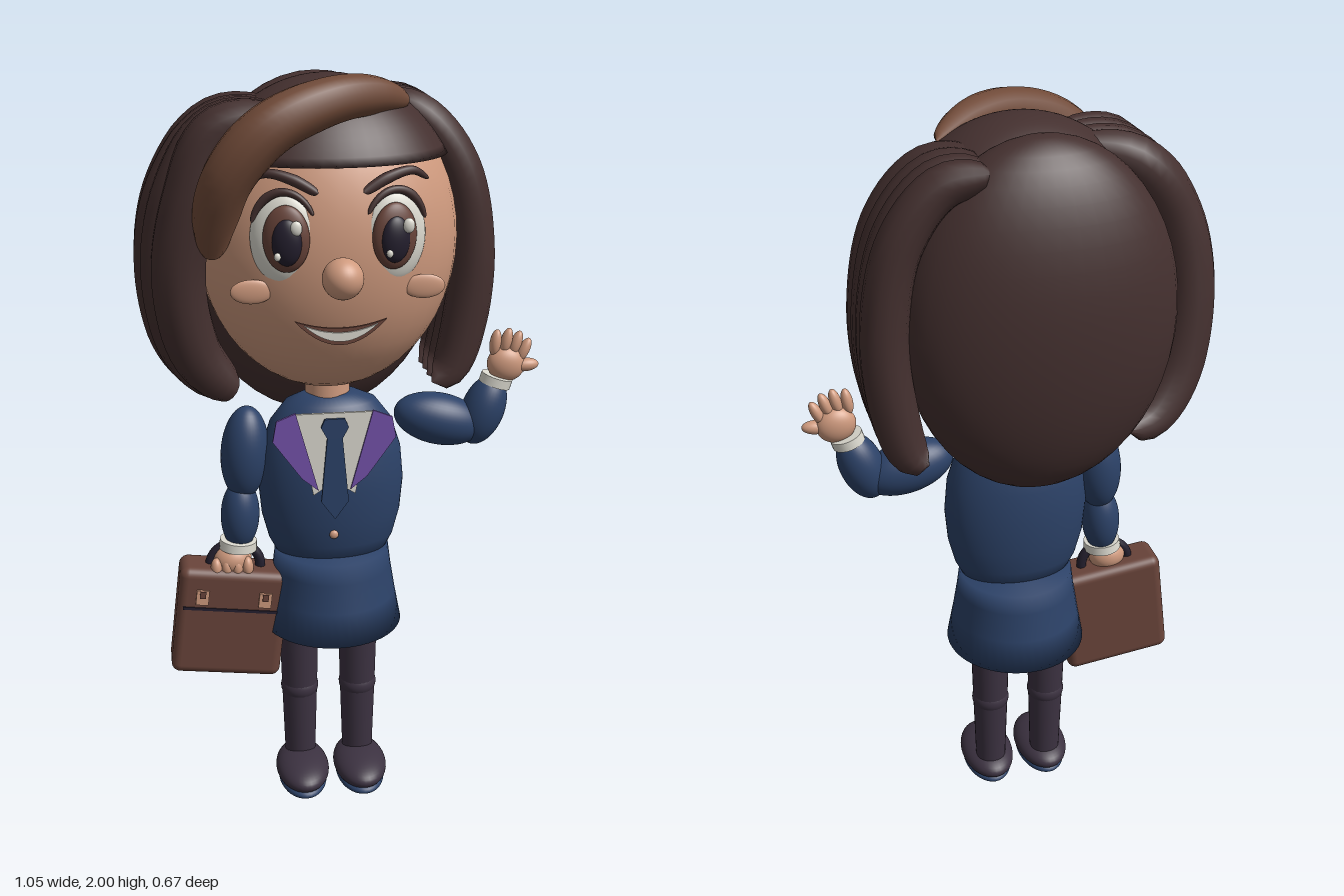
import * as THREE from 'three';
import { RoundedBoxGeometry } from 'three/addons/geometries/RoundedBoxGeometry.js';

const mat = (name, color, side = THREE.FrontSide) => {
  const m = new THREE.MeshStandardMaterial({ color, side });
  m.name = name;
  return m;
};

export function createModel() {
  const skin = mat('skin', 0xcf9a7e), hair = mat('darkHair', 0x44302f), brown = mat('fringeBrown', 0x704a38);
  const leather = mat('leather', 0x69443a), navy = mat('navyCloth', 0x2c4268), plum = mat('plumStocking', 0x3c3241);
  const white = mat('white', 0xdcdad0), purple = mat('purpleLapel', 0x7452aa), ink = mat('ink', 0x241f2e);
  const model = new THREE.Group();
  const CX = -0.035;

  const add = (name, geo, m, x = 0, y = 0, z = 0, parent = model) => {
    const mesh = new THREE.Mesh(geo, m);
    mesh.name = name;
    mesh.position.set(x, y, z);
    parent.add(mesh);
    return mesh;
  };
  const ball = (name, m, [x, y, z], [rx, ry, rz], tilt = 0, parent = model) => {
    const b = add(name, new THREE.SphereGeometry(1, 36, 24), m, x, y, z, parent);
    b.scale.set(rx, ry, rz);
    b.rotation.z = tilt;
    return b;
  };
  // Tube along a path, with radii spread along it and rounded ends
  const strand = (name, m, pts, radii, n = 36) => {
    const curve = new THREE.CatmullRomCurve3(pts.map(p => new THREE.Vector3(...p)));
    const geo = new THREE.TubeGeometry(curve, n, 1, 14);
    const pos = geo.attributes.position, v = new THREE.Vector3();
    for (let i = 0; i <= n; i++) {
      const t = i / n, c = curve.getPointAt(t), f = t * (radii.length - 1), k = Math.min(Math.floor(f), radii.length - 2);
      const r = THREE.MathUtils.lerp(radii[k], radii[k + 1], f - k) * Math.sqrt(Math.max(0, 1 - (2 * t - 1) ** 10));
      for (let j = 0; j <= 14; j++) {
        v.fromBufferAttribute(pos, i * 15 + j).sub(c).multiplyScalar(r).add(c);
        pos.setXYZ(i * 15 + j, v.x, v.y, v.z);
      }
    }
    return add(name, geo, m);
  };
  // Thin flat plate from an outline
  const plate = (name, m, pts, z, depth = 0.008) => {
    const s = new THREE.Shape(pts.map(p => new THREE.Vector2(...p)));
    return add(name, new THREE.ExtrudeGeometry(s, { depth, bevelEnabled: false }), m, CX, 0, z);
  };
  const lathe = (name, m, pts, x, z, depth) => {
    const l = add(name, new THREE.LatheGeometry(pts.map(p => new THREE.Vector2(...p)), 48), m, x, 0, z);
    l.scale.z = depth;
    return l;
  };

  // Head and neck
  ball('head', skin, [CX, 1.59, 0], [0.33, 0.39, 0.262]);
  add('neck', new THREE.CylinderGeometry(0.055, 0.062, 0.14, 24), skin, CX, 1.2, -0.01);
  ball('nose', skin, [CX, 1.55, 0.287], [0.05, 0.05, 0.05]);

  // Skull cap and the big oval of hair behind
  const cap = [[0, 1.795]];
  for (let i = 0; i <= 16; i++) {
    const a = 1.03 * (1 - i / 16);
    cap.push([0.352 * Math.sin(a), 1.595 + 0.397 * Math.cos(a)]);
  }
  lathe('hairCap', hair, cap, CX, -0.005, 0.79);
  ball('backHair', hair, [-0.045, 1.53, -0.16], [0.345, 0.452, 0.175]);

  // Ribbed side locks, four strands each
  [-0.01, -0.075, -0.135, -0.19].forEach(z => strand('leftLockStrand', hair, [
    [0.08, 1.91, z * 0.7 - 0.07], [0.2, 1.885, z * 0.9 - 0.02], [0.3, 1.76, z], [0.343, 1.55, z],
    [0.33, 1.36, z], [0.29, 1.22, z], [0.245, 1.185, z]], [0.05, 0.055, 0.058, 0.06, 0.055]));
  [0.115, 0.06, 0, -0.06].forEach((z, i) => {
    const dx = [0.04, 0.015, 0, 0][i];
    strand('rightLockStrand', hair, [
      [-0.15, 1.905, z * 0.7 + 0.03], [-0.31, 1.87, z], [-0.42 + dx, 1.72, z], [-0.455 + dx, 1.52, z - 0.02],
      [-0.42 + dx, 1.32, z - 0.05], [-0.35 + dx, 1.22, z - 0.08], [-0.28, 1.195, z - 0.1]],
    [0.05, 0.066, 0.068, 0.068, 0.06]);
  });
  // Swept fringe
  strand('fringe', brown, [[0.16, 1.925, 0.04], [0.06, 1.95, 0.12], [-0.06, 1.945, 0.19], [-0.2, 1.89, 0.235],
    [-0.29, 1.79, 0.225], [-0.325, 1.68, 0.18], [-0.335, 1.57, 0.12]], [0.03, 0.05, 0.06, 0.064, 0.06, 0.04], 48);

  // Eyes, brows, lashes and cheeks
  for (const s of [-1, 1]) {
    const x = CX + s * 0.133, turn = s * 0.22;
    ball('eyeWhite', white, [x, 1.635, 0.218], [0.08, 0.112, 0.034]).rotation.y = turn;
    ball('iris', leather, [x - s * 0.004, 1.64, 0.248], [0.056, 0.08, 0.024]).rotation.y = turn;
    ball('pupil', ink, [x - s * 0.004, 1.635, 0.263], [0.036, 0.056, 0.02]).rotation.y = turn;
    ball('eyeGlint', white, [x + 0.025, 1.67, 0.277], [0.014, 0.018, 0.009]);
    ball('eyeGlint', white, [x - 0.02, 1.605, 0.279], [0.008, 0.01, 0.007]);
    const lash = [];
    for (let a = 0.35; a < 2.7; a += 0.25)
      lash.push([x + s * 0.08 * Math.cos(a), 1.635 + 0.113 * Math.sin(a), 0.236 - 0.02 * Math.cos(a)]);
    strand('lashes', hair, lash, [0.006, 0.011, 0.009, 0.006]);
    strand('eyebrow', hair, [[x + s * 0.085, 1.765, 0.2], [x + s * 0.04, 1.79, 0.225], [x - s * 0.02, 1.778, 0.245],
      [x - s * 0.08, 1.745, 0.255]], [0.006, 0.011, 0.014, 0.012]);
    ball('cheek', skin, [CX + s * 0.21, 1.507, 0.213], [0.052, 0.03, 0.009]);
  }

  // Smiling mouth
  const smile = (w, top, dip, low) => {
    const p = [];
    for (let i = 0; i <= 14; i++) { const u = i / 7 - 1; p.push([u * w, top - low * (1 - u * u)]); }
    for (let i = 13; i > 0; i--) { const u = i / 7 - 1; p.push([u * w, top - dip * (1 - u * u)]); }
    return p;
  };
  plate('lips', leather, smile(0.112, 1.44, 0.02, 0.062), 0.245);
  plate('teeth', white, smile(0.09, 1.43, 0.02, 0.042), 0.252, 0.006);

  // Jacket and skirt
  lathe('jacket', navy, [[0, 0.71], [0.145, 0.72], [0.17, 0.77], [0.188, 0.84], [0.196, 0.93], [0.188, 1.02],
    [0.162, 1.1], [0.12, 1.155], [0.07, 1.178], [0, 1.182]], -0.028, 0, 0.63);
  lathe('skirt', navy, [[0, 0.51], [0.192, 0.51], [0.175, 0.6], [0.162, 0.68], [0.155, 0.735], [0, 0.735]], -0.025, -0.01, 1.02);

  // Shirt front, lapels, tie and button
  plate('shirtFront', white, [[-0.1, 1.16], [-0.055, 0.935], [-0.01, 0.965], [0.01, 0.965], [0.055, 0.935], [0.1, 1.16]], 0.122);
  for (const s of [-1, 1]) {
    const pts = [[0.1, 1.165], [0.15, 1.145], [0.16, 1.09], [0.085, 0.985], [0.042, 0.95]];
    plate('lapel', purple, (s > 0 ? pts.reverse() : pts).map(([x, y]) => [x * s, y]), 0.128);
  }
  plate('tie', navy, [[-0.02, 1.095], [-0.036, 0.92], [0, 0.87], [0.036, 0.92], [0.02, 1.095], [0.036, 1.125],
    [0.026, 1.148], [-0.026, 1.148], [-0.036, 1.125]], 0.135);
  ball('button', skin, [CX, 0.815, 0.118], [0.012, 0.012, 0.008]);

  // Legs and shoes
  for (const s of [-1, 1]) {
    const x = CX + s * 0.083;
    add('thigh', new THREE.CylinderGeometry(0.056, 0.05, 0.25, 24), plum, x, 0.42, -0.01);
    ball('knee', plum, [x, 0.295, -0.01], [0.053, 0.045, 0.053]);
    add('shin', new THREE.CylinderGeometry(0.05, 0.043, 0.23, 24), plum, x, 0.185, -0.01);
    ball('shoe', plum, [x, 0.056, 0.04], [0.075, 0.042, 0.125]);
    ball('sole', navy, [x, 0.027, 0.042], [0.068, 0.027, 0.118]);
  }

  // Lowered right arm
  ball('rightUpperArm', navy, [-0.258, 1.015, 0], [0.064, 0.13, 0.066], -0.08);
  ball('rightForearm', navy, [-0.275, 0.84, 0.005], [0.052, 0.1, 0.054], -0.05);
  const cuff = add('rightCuff', new THREE.CylinderGeometry(0.05, 0.052, 0.025, 24), white, -0.283, 0.757, 0.01);
  cuff.rotation.z = -0.1;
  ball('rightHand', skin, [-0.3, 0.715, 0.015], [0.052, 0.045, 0.045]);
  for (let i = 0; i < 4; i++) ball('rightFinger', skin, [-0.345 + i * 0.028, 0.7, 0.042], [0.016, 0.03, 0.02]);

  // Raised, waving left arm
  ball('leftUpperArm', navy, [0.265, 1.085, 0], [0.125, 0.07, 0.066], -0.25);
  ball('leftForearm', navy, [0.385, 1.105, 0], [0.058, 0.1, 0.056], -0.35);
  const wave = new THREE.Group();
  wave.name = 'leftHand';
  wave.position.set(0.418, 1.187, 0);
  wave.rotation.z = -0.3;
  model.add(wave);
  add('leftCuff', new THREE.CylinderGeometry(0.043, 0.043, 0.025, 24), white, 0, 0, 0, wave);
  ball('palm', skin, [0.012, 0.05, 0], [0.052, 0.048, 0.032], 0, wave);
  for (let i = 0; i < 4; i++)
    ball('finger', skin, [-0.036 + i * 0.027, 0.098 + (i % 3 ? 0.012 : 0), 0.002], [0.015, 0.036, 0.017], 0.15 - i * 0.1, wave);
  ball('thumb', skin, [0.062, 0.062, 0.005], [0.036, 0.018, 0.019], 0.35, wave);

  // Briefcase
  const bag = new THREE.Group();
  bag.name = 'briefcase';
  bag.position.set(-0.312, 0.54, 0.01);
  bag.rotation.z = -0.125;
  model.add(bag);
  add('caseBody', new RoundedBoxGeometry(0.3, 0.315, 0.12, 4, 0.025), leather, 0, 0, 0, bag);
  add('caseSeam', new THREE.BoxGeometry(0.27, 0.008, 0.008), ink, 0, 0.045, 0.059, bag);
  for (const s of [-1, 1]) {
    add('caseClasp', new THREE.BoxGeometry(0.034, 0.042, 0.009), skin, s * 0.085, 0.08, 0.062, bag);
    add('caseStud', new THREE.BoxGeometry(0.016, 0.02, 0.009), leather, s * 0.085, 0.09, 0.066, bag);
  }
  const handle = add('caseHandle', new THREE.TorusGeometry(0.068, 0.014, 12, 28, Math.PI), ink, 0, 0.155, 0, bag);
  handle.scale.y = 0.95;

  return model;
}
